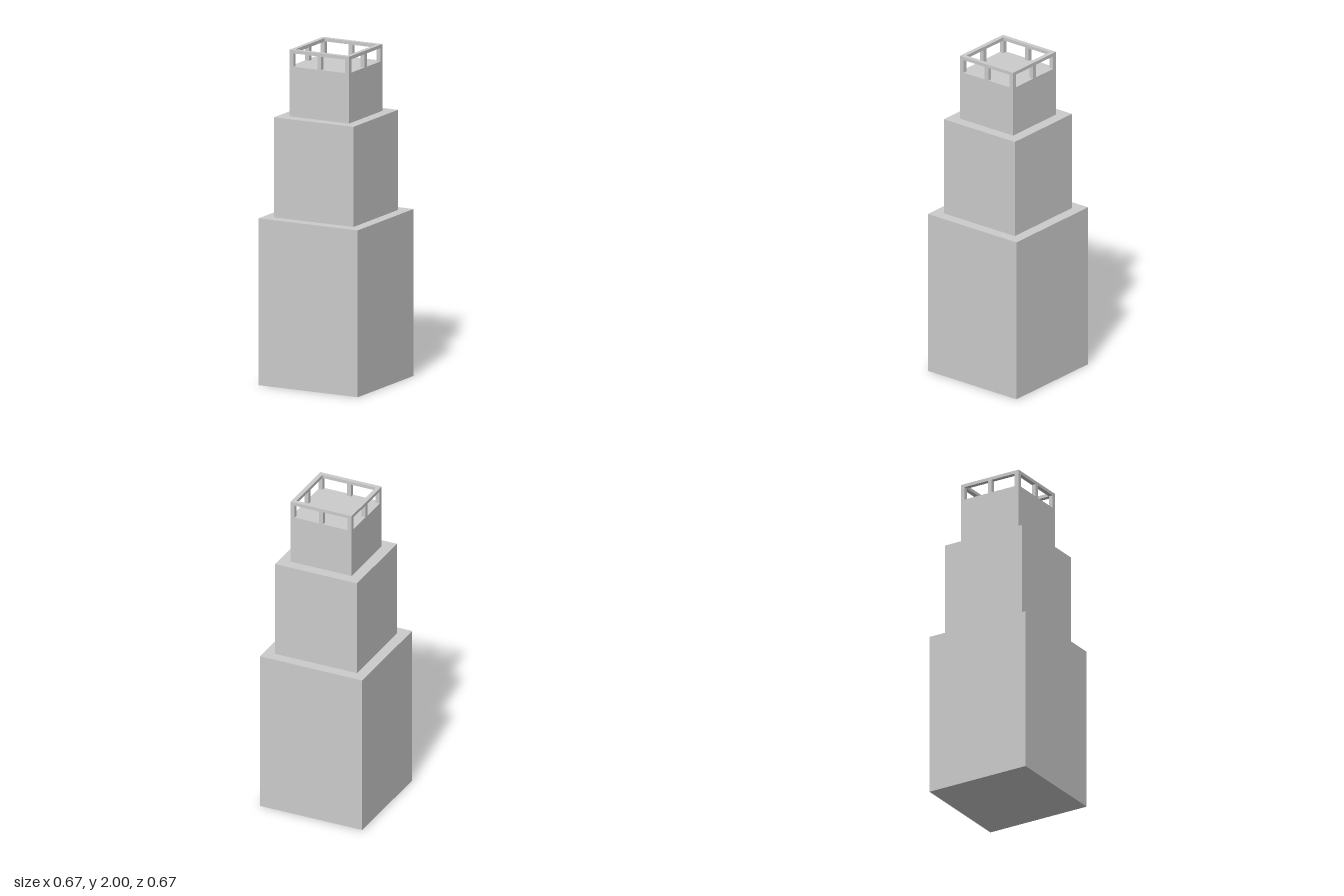
import * as THREE from 'three';

const material = new THREE.MeshStandardMaterial({ color: 0xcccccc });

// Box standing on height y
function addBox(parent, name, [w, h, d], [x, y, z]) {
  const mesh = new THREE.Mesh(new THREE.BoxGeometry(w, h, d), material);
  mesh.name = name;
  mesh.position.set(x, y + h / 2, z);
  parent.add(mesh);
}

export function createModel() {
  const tower = new THREE.Group();
  tower.name = 'steppedTower';

  // Three stacked tiers, each narrower than the one below
  addBox(tower, 'lowerTier', [0.6667, 1, 0.6667], [0, 0, 0]);
  addBox(tower, 'middleTier', [0.5333, 0.6, 0.5333], [0, 1, 0]);
  addBox(tower, 'upperTier', [0.4, 0.3, 0.4], [0, 1.6, 0]);

  // Open lookout frame: corner and middle posts carrying a square top rail
  const lookout = new THREE.Group();
  lookout.name = 'lookout';
  tower.add(lookout);

  const floor = 1.9, railBase = 1.98, bar = 0.0267;
  const edge = 0.2 - bar / 2;
  for (const i of [-1, 0, 1]) {
    for (const j of [-1, 0, 1]) {
      if (i === 0 && j === 0) continue;
      const name = i && j ? 'cornerPost' : 'middlePost';
      addBox(lookout, name, [bar, railBase - floor, bar], [i * edge, floor, j * edge]);
    }
  }

  const outer = 0.2, inner = 0.2 - bar;
  const square = (Type, r) => new Type([[-r, -r], [r, -r], [r, r], [-r, r]].map(([x, y]) => new THREE.Vector2(x, y)));
  const railShape = square(THREE.Shape, outer);
  railShape.holes.push(square(THREE.Path, inner));
  const rail = new THREE.Mesh(
    new THREE.ExtrudeGeometry(railShape, { depth: 2 - railBase, bevelEnabled: false }),
    material
  );
  rail.name = 'topRail';
  rail.rotation.x = -Math.PI / 2;
  rail.position.y = railBase;
  lookout.add(rail);

  return tower;
}
